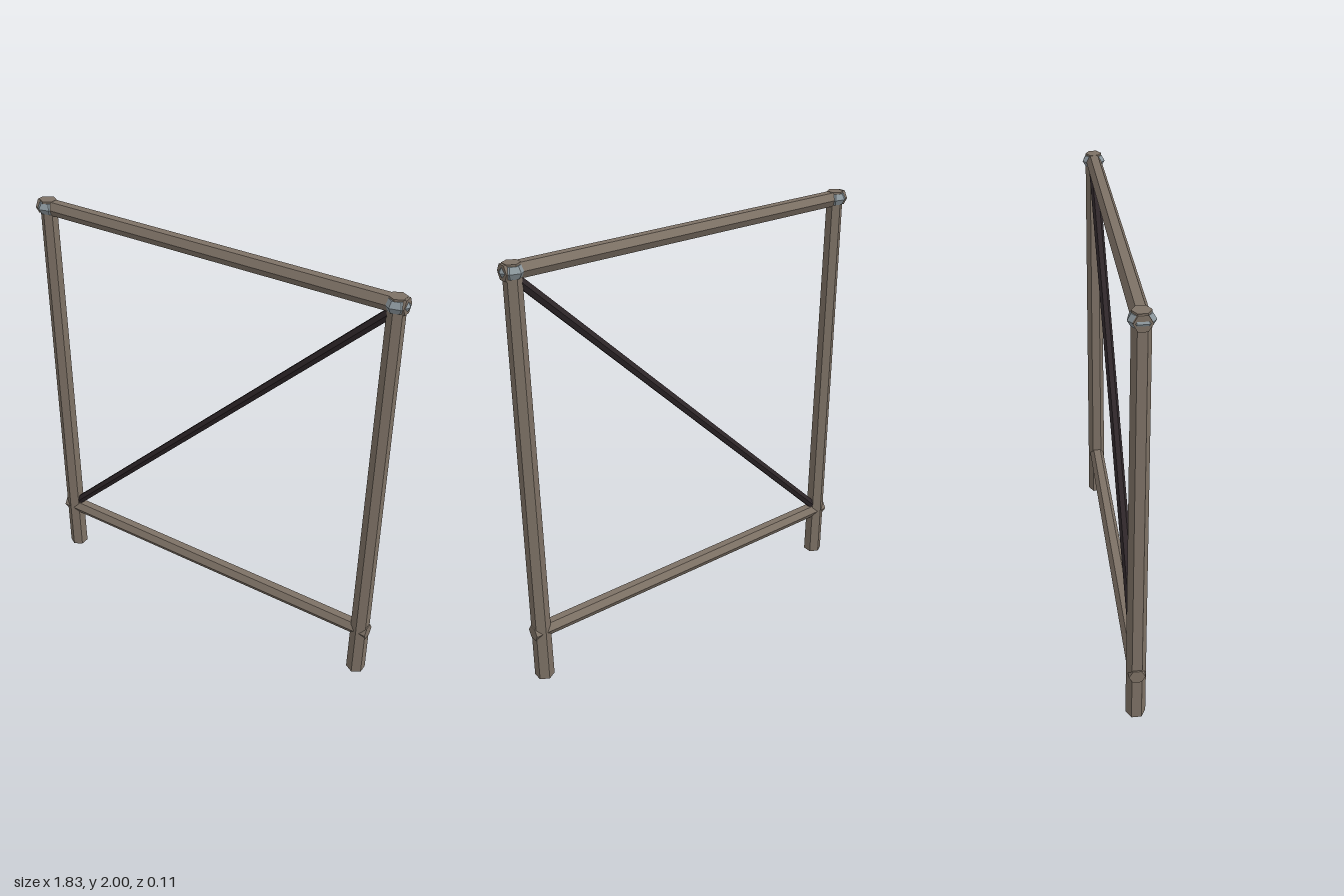
import * as THREE from 'three';

const flat = (name, color) => {
  const m = new THREE.MeshStandardMaterial({ color });
  m.name = name;
  m.flatShading = true;
  return m;
};

export function createModel() {
  const wood = flat('weathered wood', 0x7d7165);
  const iron = flat('dark iron', 0x2e2629);
  const steel = flat('pale steel', 0x8c979d);

  const group = new THREE.Group();
  group.name = 'fenceFrame';

  const add = (name, geometry, material, x, y) => {
    const mesh = new THREE.Mesh(geometry, material);
    mesh.name = name;
    mesh.position.set(x, y, 0);
    group.add(mesh);
    return mesh;
  };

  // Slightly tapered hexagonal posts, each with a faceted ring at the top
  for (const [side, x] of [['left', 0.856], ['right', -0.866]]) {
    add(side + 'Post', new THREE.CylinderGeometry(0.038, 0.045, 2, 6), wood, x, 1);
    const ring = new THREE.TorusGeometry(0.026, 0.029, 6, 7).rotateX(Math.PI / 2);
    add(side + 'Collar', ring, steel, x, 1.966);
  }

  // Horizontal rails that pass through the posts
  for (const [name, y] of [['topRail', 1.966], ['bottomRail', 0.255]]) {
    const rail = new THREE.CylinderGeometry(0.037, 0.037, 1.81, 6).rotateZ(Math.PI / 2);
    add(name, rail, wood, -0.006, y);
  }

  // Diagonal brace from the foot of one post to the head of the other
  const a = new THREE.Vector2(-0.866, 0.265);
  const b = new THREE.Vector2(0.856, 1.945);
  const d = b.clone().sub(a);
  const brace = add('diagonalBrace', new THREE.CylinderGeometry(0.023, 0.023, d.length(), 6),
    iron, (a.x + b.x) / 2, (a.y + b.y) / 2);
  brace.rotation.z = d.angle() - Math.PI / 2;

  return group;
}
